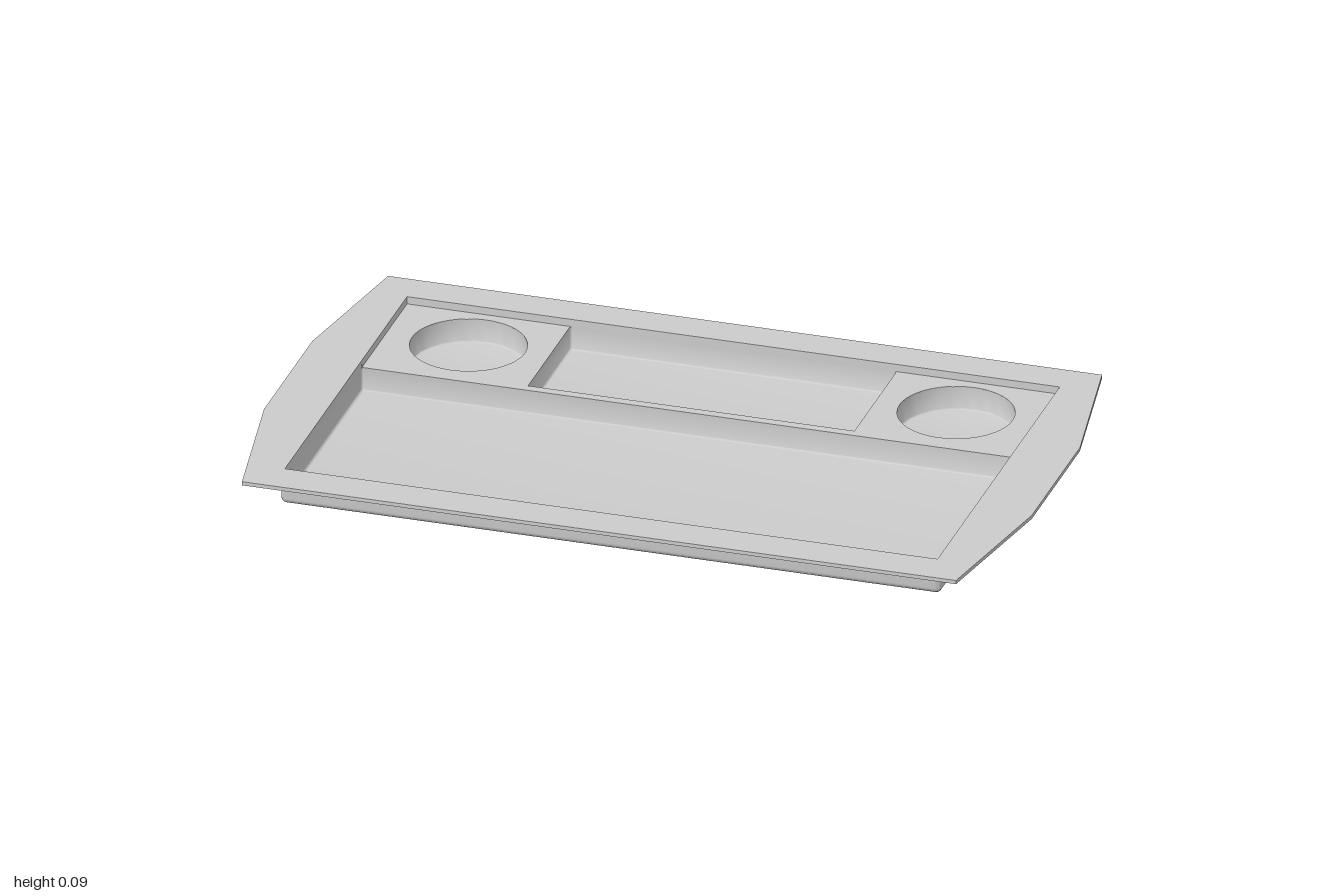
import * as THREE from 'three';
import { toCreasedNormals } from 'three/addons/utils/BufferGeometryUtils.js';

const WALL = 0.01;
const RIM_TOP = 0.093;
const SHELF_TOP = 0.073;
const SHELF_BOTTOM = 0.063;

const material = new THREE.MeshStandardMaterial({ color: 0xcccccc });

function addMesh(group, name, geometry) {
  const mesh = new THREE.Mesh(geometry, material);
  mesh.name = name;
  group.add(mesh);
}

// Flat plate from an [x, z] outline, with optional holes
function plate(points, top, bottom, holes = []) {
  const shape = new THREE.Shape(points.map(([x, z]) => new THREE.Vector2(x, z)));
  shape.holes.push(...holes);
  const geometry = new THREE.ExtrudeGeometry(shape, {
    depth: top - bottom, bevelEnabled: false, curveSegments: 48,
  });
  return geometry.rotateX(Math.PI / 2).translate(0, top, 0);
}

// Open thin-walled basin: rounded-rectangle loops swept along a wall profile
function basin(x0, x1, z0, z1, top, corner, segments, adjust = (z, y) => y) {
  const cx = (x0 + x1) / 2, cz = (z0 + z1) / 2;
  const hx = (x1 - x0) / 2, hz = (z1 - z0) / 2;
  const outerFillet = 0.015, innerFillet = 0.006;

  // Profile of [inset, y, scale]: underside, outer wall, lip, inner wall, floor
  const profile = [[0, 0, 0]];
  for (let k = 0; k <= 4; k++) {
    const a = (k / 4) * Math.PI / 2;
    profile.push([outerFillet * (1 - Math.sin(a)), outerFillet * (1 - Math.cos(a)), 1]);
  }
  profile.push([0, top, 1], [WALL, top, 1]);
  for (let k = 4; k >= 0; k--) {
    const a = (k / 4) * Math.PI / 2;
    profile.push([WALL + innerFillet * (1 - Math.sin(a)), WALL + innerFillet * (1 - Math.cos(a)), 1]);
  }
  profile.push([0, WALL, 0]);

  const positions = [], index = [];
  const count = 4 * (segments + 1);
  for (const [inset, y, scale] of profile) {
    const r = Math.max(0.001, corner - inset);
    for (let q = 0; q < 4; q++) {
      const sx = q === 0 || q === 3 ? 1 : -1;
      const sz = q < 2 ? 1 : -1;
      for (let s = 0; s <= segments; s++) {
        const a = (q + s / segments) * Math.PI / 2;
        const x = cx + scale * (sx * (hx - inset - r) + r * Math.cos(a));
        const z = cz + scale * (sz * (hz - inset - r) + r * Math.sin(a));
        positions.push(x, adjust(z, y), z);
      }
    }
  }
  for (let i = 0; i < profile.length - 1; i++) {
    for (let j = 0; j < count; j++) {
      const n = (j + 1) % count;
      const a = i * count + j, b = i * count + n;
      const c = a + count, d = b + count;
      index.push(a, c, d, a, d, b);
    }
  }
  const geometry = new THREE.BufferGeometry();
  geometry.setAttribute('position', new THREE.Float32BufferAttribute(positions, 3));
  geometry.setIndex(index);
  return toCreasedNormals(geometry, Math.PI / 5);
}

export function createModel() {
  const tray = new THREE.Group();
  tray.name = 'servingTray';

  // Wide rim with tapered ends
  const opening = new THREE.Path([
    [-0.85, -0.51], [-0.85, 0.505], [0.85, 0.505], [0.85, -0.51],
  ].map(([x, z]) => new THREE.Vector2(x, z)));
  addMesh(tray, 'rim', plate([
    [-0.93, -0.607], [0.93, -0.607], [1, -0.2], [1, 0.2],
    [0.93, 0.607], [-0.93, 0.607], [-1, 0.2], [-1, -0.2],
  ], RIM_TOP, 0.083, [opening]));

  // Large front compartment; its back wall stops at the lower shelf
  addMesh(tray, 'frontCompartment', basin(-0.86, 0.86, -0.145, 0.515, 0.09, 0.015, 4,
    (z, y) => (z < -0.13 ? Math.min(y, SHELF_TOP - 0.001) : y)));

  // Sunken shelf around the rear compartment, with two cup openings
  const cupX = 0.635, cupZ = -0.335, cupRadius = 0.157;
  const cupHoles = [-1, 1].map((side) =>
    new THREE.Path().absarc(side * cupX, cupZ, cupRadius - WALL, 0, Math.PI * 2, true));
  addMesh(tray, 'shelf', plate([
    [-0.855, -0.515], [-0.425, -0.515], [-0.425, -0.16], [0.425, -0.16],
    [0.425, -0.515], [0.855, -0.515], [0.855, -0.135], [-0.855, -0.135],
  ], SHELF_TOP, SHELF_BOTTOM, cupHoles));

  // Low wall joining the shelf to the rim
  addMesh(tray, 'shelfWall', plate([
    [-0.86, -0.135], [-0.86, -0.52], [0.86, -0.52], [0.86, -0.135],
    [0.85, -0.135], [0.85, -0.51], [-0.85, -0.51], [-0.85, -0.135],
  ], 0.09, SHELF_BOTTOM));

  // Rear middle compartment
  addMesh(tray, 'rearCompartment',
    basin(-0.435, 0.435, -0.52, -0.15, SHELF_TOP - 0.001, 0.015, 4));

  // Cup wells
  for (const [name, side] of [['leftCupWell', 1], ['rightCupWell', -1]]) {
    const x = side * cupX;
    addMesh(tray, name, basin(x - cupRadius, x + cupRadius, cupZ - cupRadius,
      cupZ + cupRadius, SHELF_TOP - 0.001, cupRadius, 12));
  }
  return tray;
}
